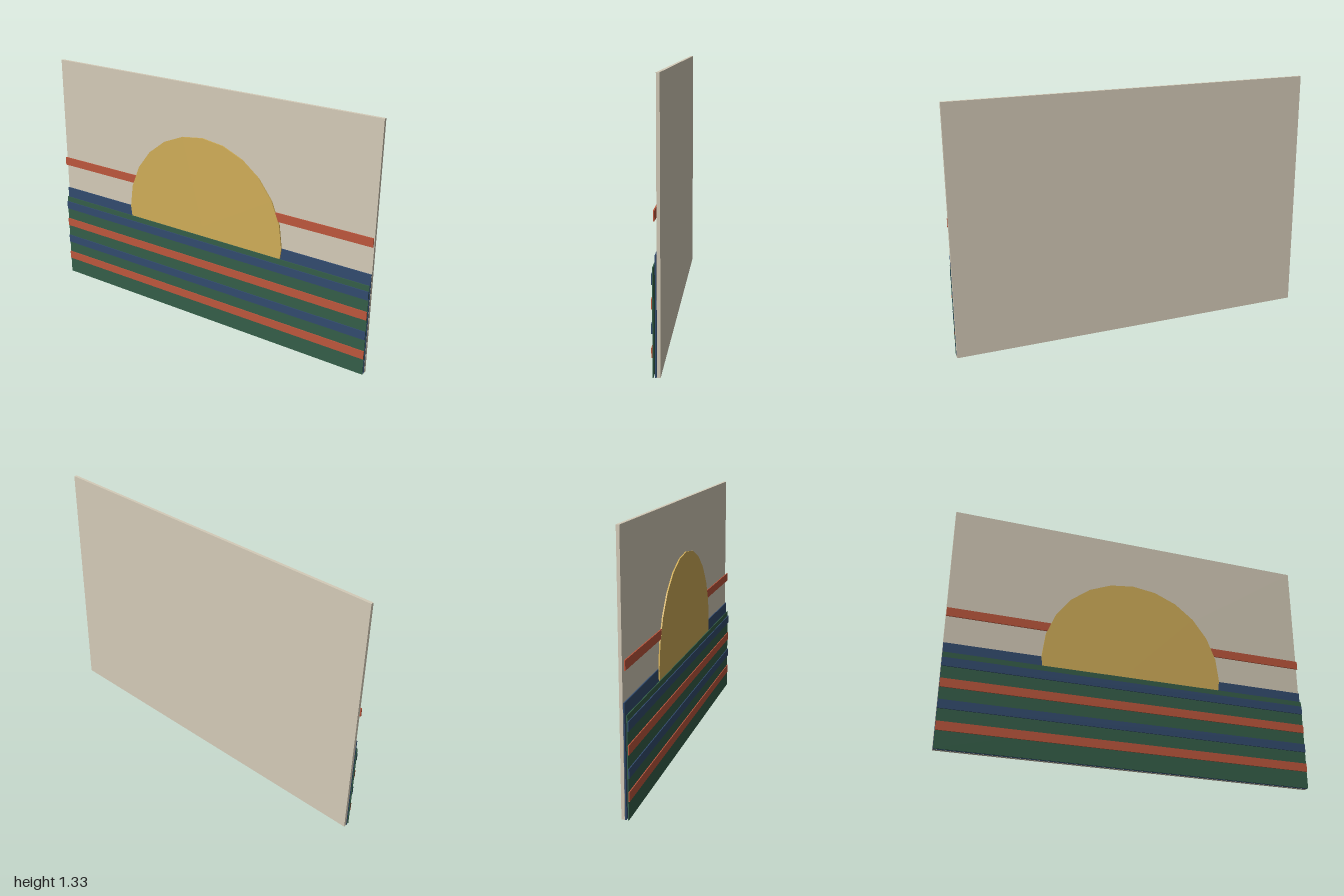
import * as THREE from 'three';

const COLORS = { cream: 0xd4cbb8, gold: 0xd0ad58, red: 0xbc563c, blue: 0x324b6e, green: 0x345e48 };
const material = (name) => new THREE.MeshStandardMaterial({ color: COLORS[name], flatShading: true });

export function createModel() {
  const group = new THREE.Group();

  // Full-width slab between two heights and two depths
  const slab = (name, color, y0, y1, z0, z1) => {
    const mesh = new THREE.Mesh(new THREE.BoxGeometry(2, y1 - y0, z1 - z0), material(color));
    mesh.position.set(0, (y0 + y1) / 2, (z0 + z1) / 2);
    mesh.name = name;
    group.add(mesh);
  };

  // Backing panel and the layered land and sea in front of it
  slab('backPanel', 'cream', 0, 1.333, -0.02, -0.004);
  slab('seaPanel', 'blue', 0, 0.556, -0.002, 0.004);
  slab('landPanel', 'green', 0, 0.5, 0.011, 0.016);

  // Thin stripe across the sky, passing behind the sun
  slab('skyStripe', 'red', 0.703, 0.75, 0.005, 0.011);

  // Alternating stripes on the land
  for (let i = 0; i < 4; i++) {
    const y = 0.114 + i * 0.111;
    slab('landStripe' + (i + 1), i % 2 ? 'blue' : 'red', y - 0.023, y + 0.023, 0.016, 0.021);
  }

  // Sun disc, its lower half hidden behind the land
  const sun = new THREE.Mesh(new THREE.CylinderGeometry(0.5, 0.5, 0.007, 24), material('gold'));
  sun.rotation.x = Math.PI / 2;
  sun.position.set(0, 0.556, 0.008);
  sun.name = 'sun';
  group.add(sun);

  return group;
}
